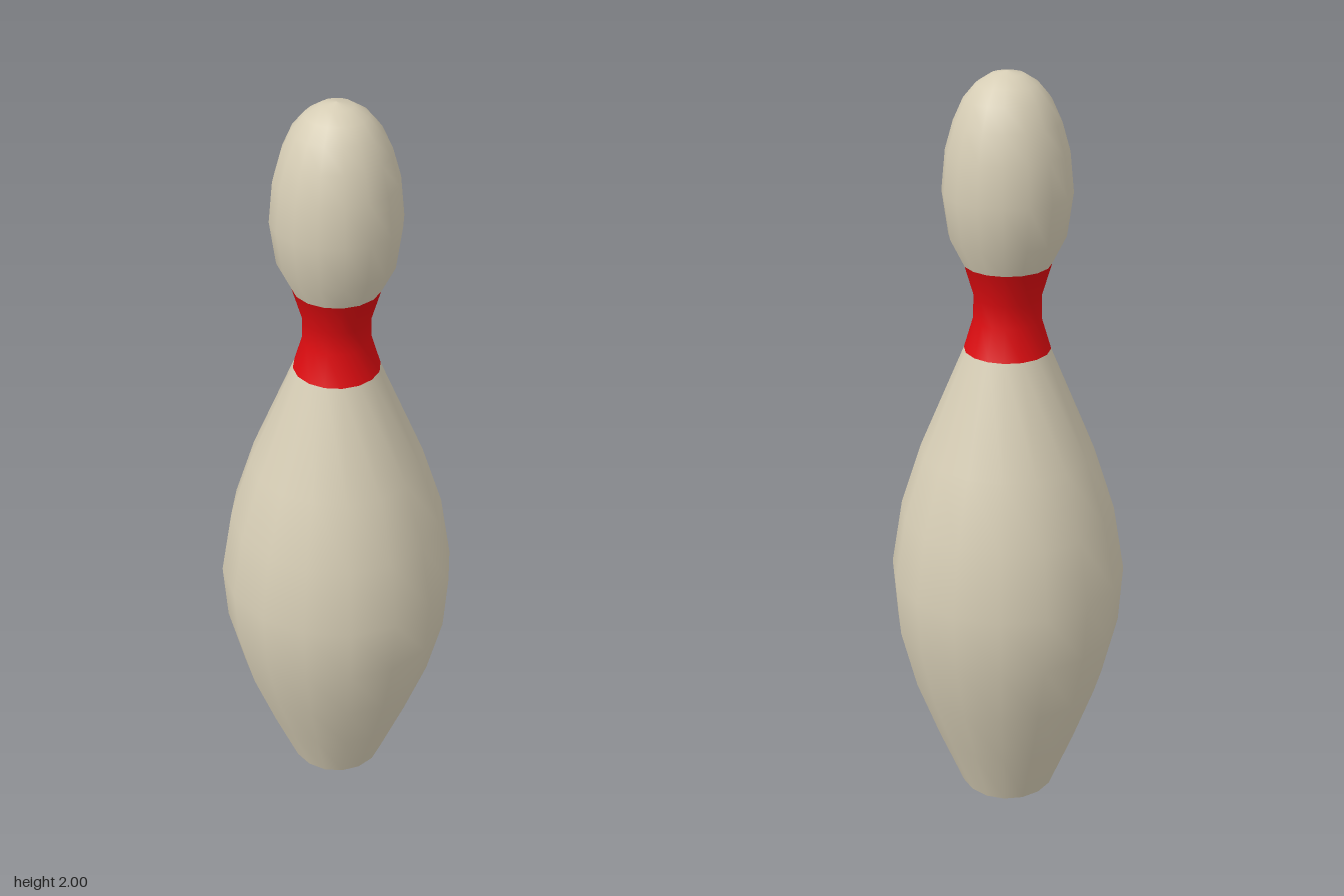
import * as THREE from 'three';

const SIDES = 16;

export function createModel() {
  const ivory = new THREE.MeshStandardMaterial({ color: 0xd6cdb5 });
  ivory.name = 'ivory';
  const red = new THREE.MeshStandardMaterial({ color: 0xdc0c10 });
  red.name = 'red';

  // Silhouette from foot to crown: [radius, height]
  const profile = [
    [0.13, 0], [0.2, 0.18], [0.26, 0.35], [0.3, 0.52], [0.31, 0.68],
    [0.28, 0.86], [0.225, 1.03], [0.11, 1.305],
    [0.086, 1.385], [0.085, 1.445], [0.11, 1.53],
    [0.145, 1.6], [0.16, 1.71], [0.15, 1.81], [0.13, 1.88],
    [0.105, 1.935], [0.075, 1.97], [0.04, 1.992], [0, 2],
  ].map(([r, y]) => new THREE.Vector2(r, y));
  const bandStart = 7, bandEnd = 10;

  // One smooth surface, with the neck band coloured through groups
  const bodyGeometry = new THREE.LatheGeometry(profile, SIDES);
  const rows = profile.length - 1;
  for (let i = 0; i < SIDES; i++) {
    const addRows = (from, to, material) =>
      bodyGeometry.addGroup((i * rows + from) * 6, (to - from) * 6, material);
    addRows(0, bandStart, 0);
    addRows(bandStart, bandEnd, 1);
    addRows(bandEnd, rows, 0);
  }
  const body = new THREE.Mesh(bodyGeometry, [ivory, red]);
  body.name = 'bodyWithNeckBand';

  // Flat disc closing the foot
  const base = new THREE.Mesh(
    new THREE.CircleGeometry(profile[0].x, SIDES).rotateX(Math.PI / 2), red);
  base.name = 'baseDisc';

  const pin = new THREE.Group();
  pin.name = 'pin';
  pin.add(body, base);
  return pin;
}
